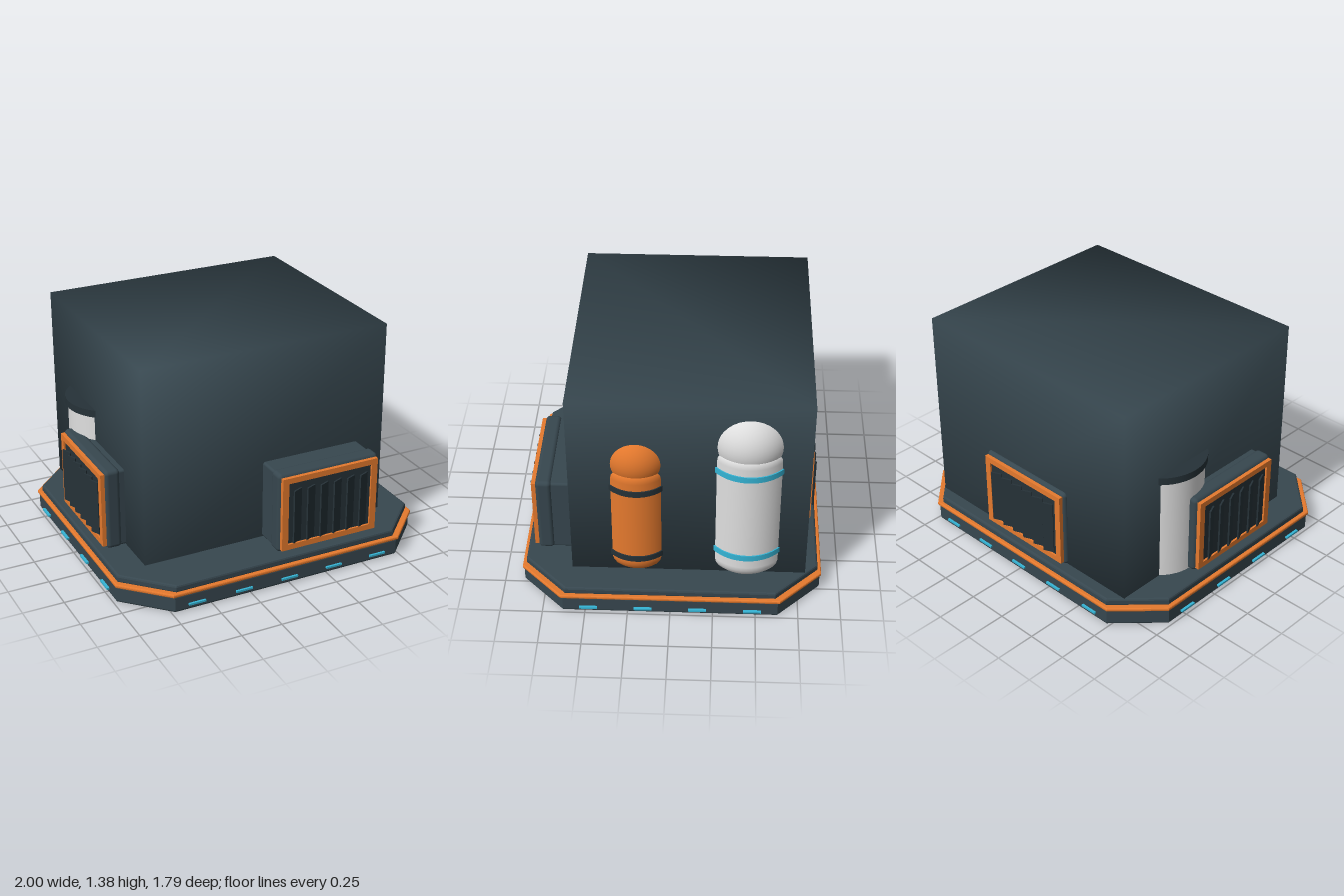
import * as THREE from 'three';
import { mergeVertices } from 'three/addons/utils/BufferGeometryUtils.js';
import { RoundedBoxGeometry } from 'three/addons/geometries/RoundedBoxGeometry.js';

const material = (name, color) => {
  const m = new THREE.MeshStandardMaterial({ color });
  m.name = name;
  return m;
};

export function createModel() {
  const slate = material('slate', 0x37474f);
  const charcoal = material('charcoal', 0x263238);
  const orange = material('orange', 0xe67a2e);
  const white = material('white', 0xe0e0e0);
  const cyan = material('cyan', 0x35b5d6);

  const root = new THREE.Group();
  root.name = 'industrialBuilding';

  const add = (parent, name, geometry, mat, x = 0, y = 0, z = 0) => {
    const mesh = new THREE.Mesh(geometry, mat);
    mesh.name = name;
    mesh.position.set(x, y, z);
    parent.add(mesh);
    return mesh;
  };

  // Chamfered-corner plates of the platform
  const plate = (name, hx, hz, y0, y1, bevel, mat) => {
    const c = 0.245, x = hx - bevel, z = hz - bevel;
    const shape = new THREE.Shape([
      [x - c, -z], [x, -z + c], [x, z - c], [x - c, z],
      [-x + c, z], [-x, z - c], [-x, -z + c], [-x + c, -z],
    ].map(([a, b]) => new THREE.Vector2(a, b)));
    const geometry = new THREE.ExtrudeGeometry(shape, {
      depth: y1 - y0 - 2 * bevel, bevelEnabled: true,
      bevelThickness: bevel, bevelSize: bevel, bevelSegments: 2,
    });
    geometry.rotateX(-Math.PI / 2);
    add(root, name, geometry, mat, 0, y0 + bevel, 0);
  };
  plate('platformBase', 0.982, 0.882, 0, 0.105, 0.012, slate);
  plate('platformTrim', 0.99, 0.89, 0.1, 0.122, 0.007, orange);
  plate('platformDeck', 0.967, 0.867, 0.115, 0.163, 0.012, slate);

  // Thin marker lights around the platform edge
  for (const side of [-1, 1]) {
    for (const x of [-0.595, -0.297, 0, 0.297, 0.595]) {
      add(root, 'edgeLight', new THREE.BoxGeometry(0.105, 0.012, 0.016), cyan, x, 0.037, side * 0.887);
    }
    for (const z of [-0.48, -0.16, 0.16, 0.48]) {
      add(root, 'edgeLight', new THREE.BoxGeometry(0.016, 0.012, 0.105), cyan, side * 0.992, 0.037, z);
    }
  }

  // Main block with shared, softly shaded corners
  let block = new THREE.BoxGeometry(1.564, 1.37, 1.375);
  block.deleteAttribute('normal');
  block.deleteAttribute('uv');
  block = mergeVertices(block);
  block.computeVertexNormals();
  add(root, 'mainBlock', block, slate, 0, 0.69, -0.1025);

  // Domed storage tanks half sunk into the wall
  const tank = (name, x, z, r, top, domeY, bands, bodyMat, bandMat) => {
    const group = new THREE.Group();
    group.name = name;
    group.position.set(x, 0, z);
    const profile = [
      [0, 0.166], [r - 0.07, 0.168], [r - 0.04, 0.18], [r - 0.018, 0.205], [r - 0.005, 0.235], [r, 0.265],
      [r, top - 0.05], [r - 0.003, top - 0.025], [r - 0.012, top - 0.005], [r - 0.03, top + 0.006], [0, top + 0.006],
    ].map(([a, b]) => new THREE.Vector2(a, b));
    add(group, 'tankBody', new THREE.LatheGeometry(profile, 48), bodyMat);
    add(group, 'tankDome', new THREE.SphereGeometry(r - 0.001, 48, 28), bodyMat, 0, domeY, 0);
    for (const y of bands) {
      add(group, 'tankBand', new THREE.CylinderGeometry(r + 0.007, r + 0.007, 0.038, 48), bandMat, 0, y, 0);
    }
    root.add(group);
  };
  tank('orangeTank', 0.637, 0.2, 0.204, 0.905, 0.957, [0.295, 0.788], orange, charcoal);
  tank('whiteTank', 0.622, -0.44, 0.244, 1.05, 1.1, [0.345, 0.935], white, cyan);

  // Capped cylinder on the left wall
  add(root, 'sideCylinder', new THREE.CylinderGeometry(0.265, 0.265, 0.66, 48), white, -0.595, 0.485, -0.31);
  add(root, 'sideCylinderCap', new THREE.CylinderGeometry(0.28, 0.28, 0.045, 48), charcoal, -0.595, 0.833, -0.31);

  // Framed vent units; local +z points outward, z = 0 is the housing face
  const vent = (name, x, z, turn) => {
    const group = new THREE.Group();
    group.name = name;
    group.position.set(x, 0.415, z);
    group.rotation.y = turn;
    add(group, 'ventDuct', new RoundedBoxGeometry(0.635, 0.49, 0.24, 3, 0.015), slate, 0, -0.005, -0.17);
    add(group, 'ventHousing', new RoundedBoxGeometry(0.66, 0.505, 0.095, 4, 0.025), slate, 0, 0, -0.0475);
    const frame = new THREE.Shape();
    frame.moveTo(-0.315, -0.233).lineTo(0.315, -0.233).lineTo(0.315, 0.233).lineTo(-0.315, 0.233).closePath();
    const hole = new THREE.Path();
    hole.moveTo(-0.275, -0.198).lineTo(-0.275, 0.198).lineTo(0.275, 0.198).lineTo(0.275, -0.198).closePath();
    frame.holes.push(hole);
    add(group, 'ventFrame', new THREE.ExtrudeGeometry(frame, { depth: 0.027, bevelEnabled: false }), orange, 0, 0, -0.004);
    add(group, 'ventPanel', new THREE.BoxGeometry(0.55, 0.396, 0.014), charcoal, 0, 0, 0.004);
    // Slightly tilted upright slats
    for (let i = 0; i < 6; i++) {
      const slat = add(group, 'ventSlat', new THREE.BoxGeometry(0.065, 0.34, 0.01), charcoal, (i - 2.5) * 0.088, -0.015, 0.026);
      slat.rotation.y = 0.4;
    }
    root.add(group);
  };
  vent('frontVent', 0.295, 0.802, 0);
  vent('leftWallVent', -0.905, -0.005, -Math.PI / 2);
  vent('backVent', 0, -0.813, Math.PI);

  return root;
}
